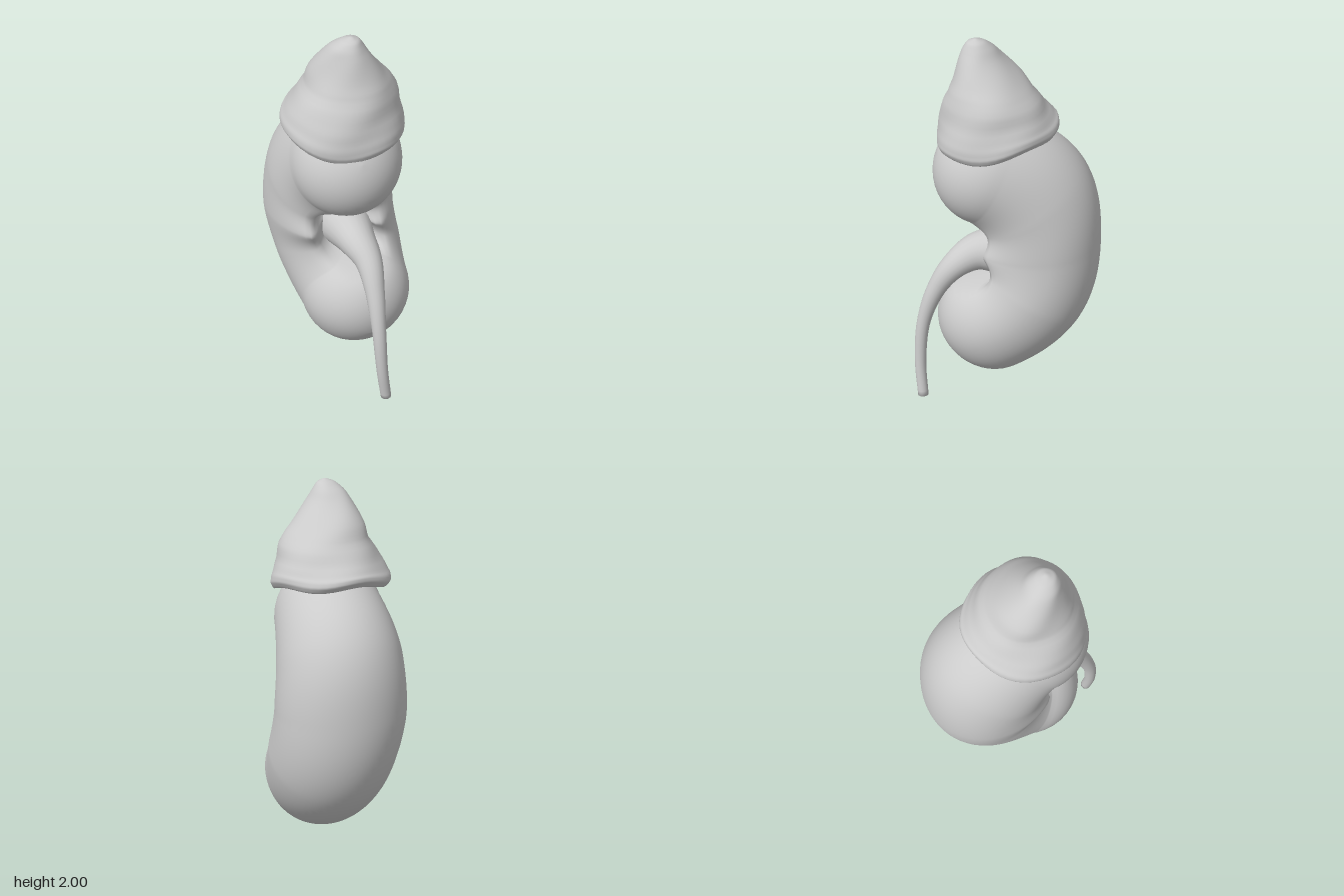
import * as THREE from 'three';

const V = (x, y, z) => new THREE.Vector3(x, y, z);

// Smooth closed skin over a list of equal-sized vertex rings, ends closed by fans
function loft(name, rings, material) {
  const n = rings[0].length, pos = [], idx = [];
  rings.forEach(r => r.forEach(p => pos.push(p.x, p.y, p.z)));
  for (let i = 0; i < rings.length - 1; i++)
    for (let j = 0; j < n; j++) {
      const k = (j + 1) % n, a = i * n + j, b = i * n + k, c = a + n, d = b + n;
      idx.push(a, b, d, a, d, c);
    }
  [0, rings.length - 1].forEach((i, end) => {
    const c = rings[i].reduce((s, p) => s.add(p), V(0, 0, 0)).divideScalar(n);
    const m = pos.length / 3;
    pos.push(c.x, c.y, c.z);
    for (let j = 0; j < n; j++) {
      const a = i * n + j, b = i * n + (j + 1) % n;
      if (end) idx.push(m, a, b); else idx.push(m, b, a);
    }
  });
  // Turn the faces outward when the enclosed volume comes out negative
  const at = i => V(pos[3 * i], pos[3 * i + 1], pos[3 * i + 2]);
  let volume = 0;
  for (let i = 0; i < idx.length; i += 3) volume += at(idx[i]).dot(at(idx[i + 1]).cross(at(idx[i + 2])));
  if (volume < 0) idx.reverse();
  const g = new THREE.BufferGeometry();
  g.setAttribute('position', new THREE.Float32BufferAttribute(pos, 3));
  g.setIndex(idx);
  g.computeVertexNormals();
  const mesh = new THREE.Mesh(g, material);
  mesh.name = name;
  return mesh;
}

// Smooth interpolation of evenly spaced key values
function keyed(values) {
  const c = new THREE.CatmullRomCurve3(values.map(v => V(v, 0, 0)));
  return t => c.getPoint(t).x;
}

// Bean-shaped organ: a C-shaped sweep facing the diagonal between +x and +z
function bodyRings() {
  const R = 0.457, A = 1.137, N = 64, S = Math.SQRT1_2, capLength = 0.28;
  const radiusOuter = keyed([0.31, 0.335, 0.315, 0.345, 0.305]);
  const radiusInner = keyed([0.285, 0.32, 0.39, 0.325, 0.29]);
  const radiusSide = keyed([0.285, 0.325, 0.335, 0.32, 0.28]);
  const shift = keyed([0.03, 0.0, -0.035, -0.04, -0.025]);
  const rings = [];
  const addRing = (t, offset, scale) => {
    const a = A * (2 * t - 1), ring = [];
    const nu = -Math.cos(a), ny = Math.sin(a);
    const cu = 0.322 + R * nu + offset * Math.sin(a);
    const cy = 0.88 + R * ny + offset * Math.cos(a);
    for (let j = 0; j < N; j++) {
      const q = j / N * Math.PI * 2, cos = Math.cos(q);
      const out = cos * (cos > 0 ? radiusOuter(t) : radiusInner(t)) * scale;
      const w = Math.sin(q) * radiusSide(t) * scale;
      const y = cy + ny * out;
      // Hollow where the duct enters
      const hollow = 0.22 * Math.max(0, -cos) * Math.exp(-Math.pow(w / 0.14, 4) - Math.pow((y - 0.85) / 0.14, 4));
      const u = cu + nu * out - hollow;
      const side = w + shift(t);
      ring.push(V((u + side) * S, y, (u - side) * S));
    }
    rings.push(ring);
  };
  const caps = 12;
  for (let i = 0; i < caps; i++) {
    const e = (i + 0.15) / caps * Math.PI / 2;
    addRing(0, -capLength * Math.cos(e), Math.sin(e));
  }
  for (let i = 0; i <= 60; i++) addRing(i / 60, 0, 1);
  for (let i = caps - 1; i >= 0; i--) {
    const e = (i + 0.15) / caps * Math.PI / 2;
    addRing(1, capLength * Math.cos(e), Math.sin(e));
  }
  return rings;
}

// Peaked gland on top, with a drooping, slightly wavy rim
function glandRings() {
  // height, centre x, centre z, radius x, radius z, share of the rim's tilt
  const keys = [
    [1.52, 0.05, 0.08, 0.17, 0.17, 1], [1.48, 0.045, 0.08, 0.25, 0.25, 1],
    [1.472, 0.045, 0.08, 0.28, 0.28, 1], [1.495, 0.043, 0.08, 0.30, 0.298, 1],
    [1.525, 0.043, 0.082, 0.303, 0.302, 0.9], [1.56, 0.048, 0.084, 0.29, 0.29, 0.6],
    [1.62, 0.058, 0.088, 0.262, 0.266, 0.3], [1.72, 0.077, 0.086, 0.22, 0.212, 0],
    [1.8, 0.075, 0.106, 0.185, 0.16, 0], [1.9, 0.09, 0.135, 0.12, 0.1, 0],
    [1.95, 0.1, 0.143, 0.082, 0.075, 0], [1.985, 0.115, 0.145, 0.045, 0.045, 0],
    [2.0, 0.12, 0.145, 0.008, 0.008, 0]];
  const N = 48, steps = 48, rings = [];
  const curves = [0, 3].map(o => new THREE.CatmullRomCurve3(keys.map(k => V(k[o], k[o + 1], k[o + 2]))));
  const tilt = keyed(keys.map(k => k[5]));
  for (let i = 0; i <= steps; i++) {
    const t = i / steps, c = curves[0].getPoint(t), r = curves[1].getPoint(t), k = tilt(t), ring = [];
    for (let j = 0; j < N; j++) {
      const q = j / N * Math.PI * 2;
      const lump = 1 + 0.012 * Math.sin(3 * q + 9 * c.x + 1) + 0.01 * Math.sin(5 * q + 25 * c.x);
      const droop = k * (-0.05 * Math.cos(q - Math.PI / 4) + 0.01 * Math.sin(4 * q));
      ring.push(V(c.y + Math.cos(q) * r.x * lump, Math.min(2, c.x + droop), c.z + Math.sin(q) * r.y * lump));
    }
    rings.push(ring);
  }
  return rings;
}

// Funnel leaving the hollow and narrowing into a hanging duct
function ductRings() {
  const keys = [
    [0.0, 0.83, 0.0, 0.145], [0.07, 0.838, 0.065, 0.125], [0.155, 0.832, 0.14, 0.097],
    [0.25, 0.775, 0.2, 0.07], [0.318, 0.65, 0.265, 0.05], [0.37, 0.45, 0.318, 0.036],
    [0.397, 0.2, 0.328, 0.03], [0.411, 0.002, 0.305, 0.028]];
  const path = new THREE.CatmullRomCurve3(keys.map(k => V(k[0], k[1], k[2])));
  const radius = keyed(keys.map(k => k[3]));
  const N = 20, steps = 48, rings = [], across = V(1, 0, -1).normalize();
  for (let i = 0; i <= steps; i++) {
    const t = i / steps, c = path.getPoint(t), tan = path.getTangent(t), r = radius(t);
    const b = tan.clone().cross(across).normalize(), a = b.clone().cross(tan);
    rings.push(Array.from({ length: N }, (_, j) => {
      const q = j / N * Math.PI * 2;
      const p = c.clone().addScaledVector(a, Math.cos(q) * r).addScaledVector(b, Math.sin(q) * r);
      p.y = Math.max(0, p.y);
      return p;
    }));
  }
  return rings;
}

export function createModel() {
  const material = new THREE.MeshStandardMaterial({ color: 0xcccccc });
  const group = new THREE.Group();
  group.name = 'kidney';
  group.add(
    loft('kidneyBody', bodyRings(), material),
    loft('adrenalGland', glandRings(), material),
    loft('ureter', ductRings(), material));
  return group;
}
